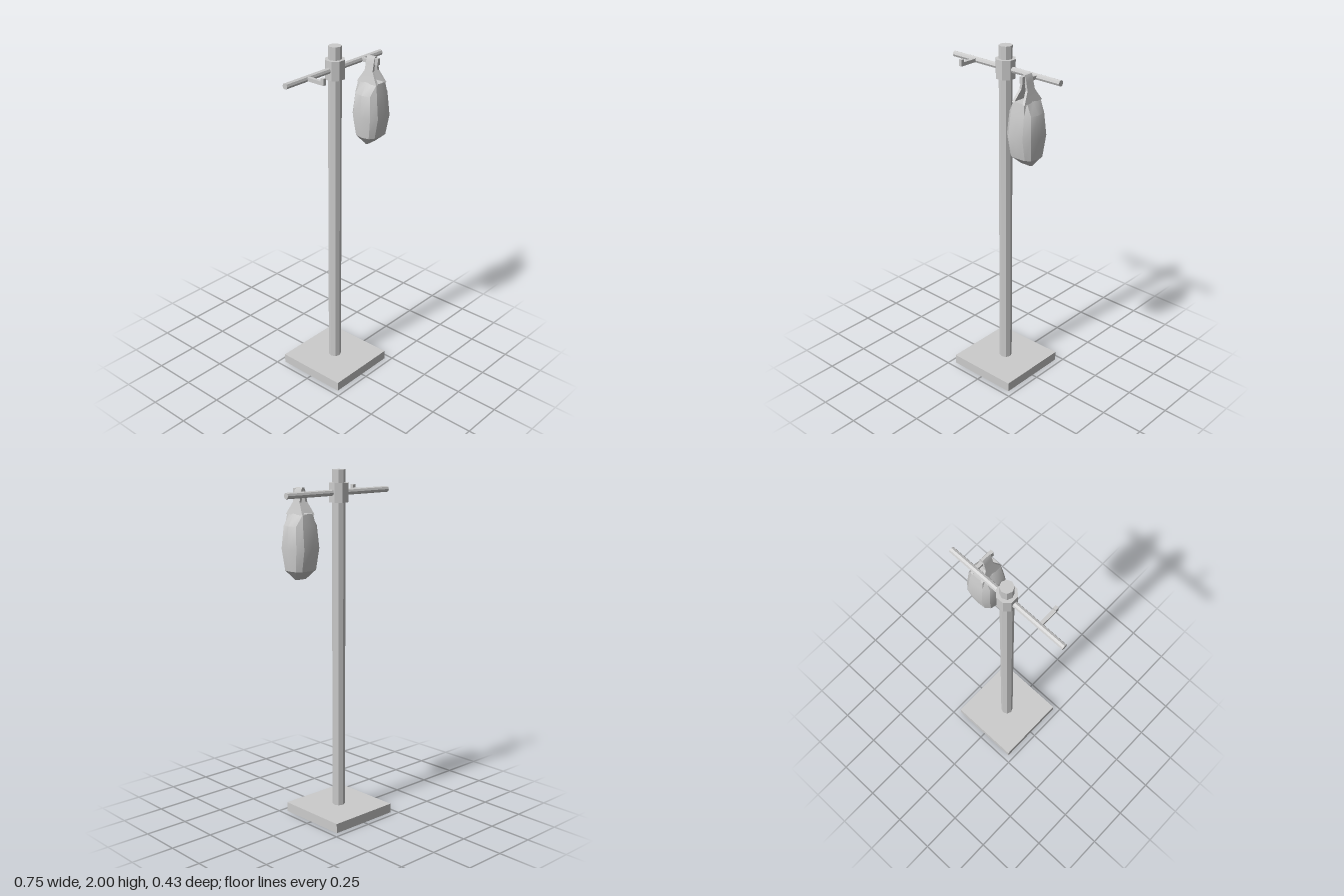
import * as THREE from 'three';
import { toCreasedNormals } from 'three/addons/utils/BufferGeometryUtils.js';

const grey = new THREE.MeshStandardMaterial({ color: 0xcccccc, flatShading: true });
const creased = new THREE.MeshStandardMaterial({ color: 0xcccccc, side: THREE.DoubleSide });

function add(parent, name, geometry, x, y, z, material = grey) {
  const mesh = new THREE.Mesh(geometry, material);
  mesh.name = name;
  mesh.position.set(x, y, z);
  parent.add(mesh);
  return mesh;
}

// Joins equal-sized rings of [x, y, z] points (bottom to top) and caps both ends
function loft(rings) {
  const n = rings[0].length;
  const pos = rings.flat(2);
  const index = [];
  for (let r = 0; r < rings.length - 1; r++) {
    for (let i = 0; i < n; i++) {
      const a = r * n + i, b = r * n + (i + 1) % n;
      index.push(a, a + n, b, b, a + n, b + n);
    }
  }
  const top = (rings.length - 1) * n;
  for (let i = 1; i < n - 1; i++) {
    index.push(0, i, i + 1);
    index.push(top, top + i + 1, top + i);
  }
  const g = new THREE.BufferGeometry();
  g.setAttribute('position', new THREE.Float32BufferAttribute(pos, 3));
  g.setIndex(index);
  return toCreasedNormals(g, 0.5);
}

// Twelve-point bag section: half width w, half depth d, half width p of the flat panel
function bagRing([y, w, d, p]) {
  const m = Math.max(p, w * 0.88);
  const quarter = [[w, 0], [m, d * 0.65], [p, d * 0.95]];
  const half = [...quarter, [0, d], ...quarter.slice(1).reverse().map(([x, z]) => [-x, z])];
  return [...half, ...half.map(([x, z]) => [-x, -z])].map(([x, z]) => [x, y, z]);
}

// Four-cornered strap section between two x positions
function strapRing(y, x0, x1, d) {
  const lo = Math.min(x0, x1), hi = Math.max(x0, x1);
  return [[hi, y, -d], [hi, y, d], [lo, y, d], [lo, y, -d]];
}

function makeHook() {
  const hook = new THREE.Group();
  hook.name = 'hook';
  add(hook, 'hookArm', new THREE.BoxGeometry(0.02, 0.02, 0.118), 0, 1.876, 0.064);
  add(hook, 'hookTip', new THREE.BoxGeometry(0.02, 0.036, 0.02), 0, 1.885, 0.113);
  return hook;
}

function makeBag() {
  const bag = new THREE.Group();
  bag.name = 'bag';
  const sections = [
    [1.408, 0.04, 0.006, 0.03],
    [1.46, 0.082, 0.07, 0.046],
    [1.58, 0.094, 0.095, 0.05],
    [1.705, 0.084, 0.079, 0.045],
    [1.77, 0.044, 0.068, 0.036],
  ];
  add(bag, 'bagBody', loft(sections.map(bagRing)), 0, 0, 0, creased);

  // Straps flare out of the bag top and meet over the hook
  const strap = [
    [1.765, 0.044, 0.028, 0.068],
    [1.83, 0.028, 0.014, 0.028],
    [1.87, 0.019, 0.006, 0.027],
    [1.893, 0.014, 0, 0.027],
    [1.908, 0.007, 0, 0.027],
  ];
  for (const s of [1, -1]) {
    const rings = strap.map(([y, outer, inner, d]) => strapRing(y, s * outer, s * inner, d));
    add(bag, 'bagStrap', loft(rings), 0, 0, 0, creased);
  }
  return bag;
}

export function createModel() {
  const model = new THREE.Group();
  model.name = 'hangingBagStand';

  add(model, 'base', new THREE.BoxGeometry(0.432, 0.055, 0.432), 0, 0.0275, 0);
  add(model, 'pole', new THREE.CylinderGeometry(0.037, 0.037, 1.95, 8), 0, 1.025, 0);

  // Collar is turned so its flats face forward and sideways
  add(model, 'collar', new THREE.CylinderGeometry(0.056, 0.056, 0.106, 8), 0, 1.875, 0)
    .rotation.y = Math.PI / 8;
  add(model, 'crossbar', new THREE.CylinderGeometry(0.017, 0.017, 0.752, 8), 0, 1.875, 0)
    .rotation.z = Math.PI / 2;

  for (const x of [-0.215, 0.215]) {
    const hook = makeHook();
    hook.position.x = x;
    model.add(hook);
  }

  const bag = makeBag();
  bag.position.set(0.215, 0, 0.075);
  model.add(bag);
  return model;
}
